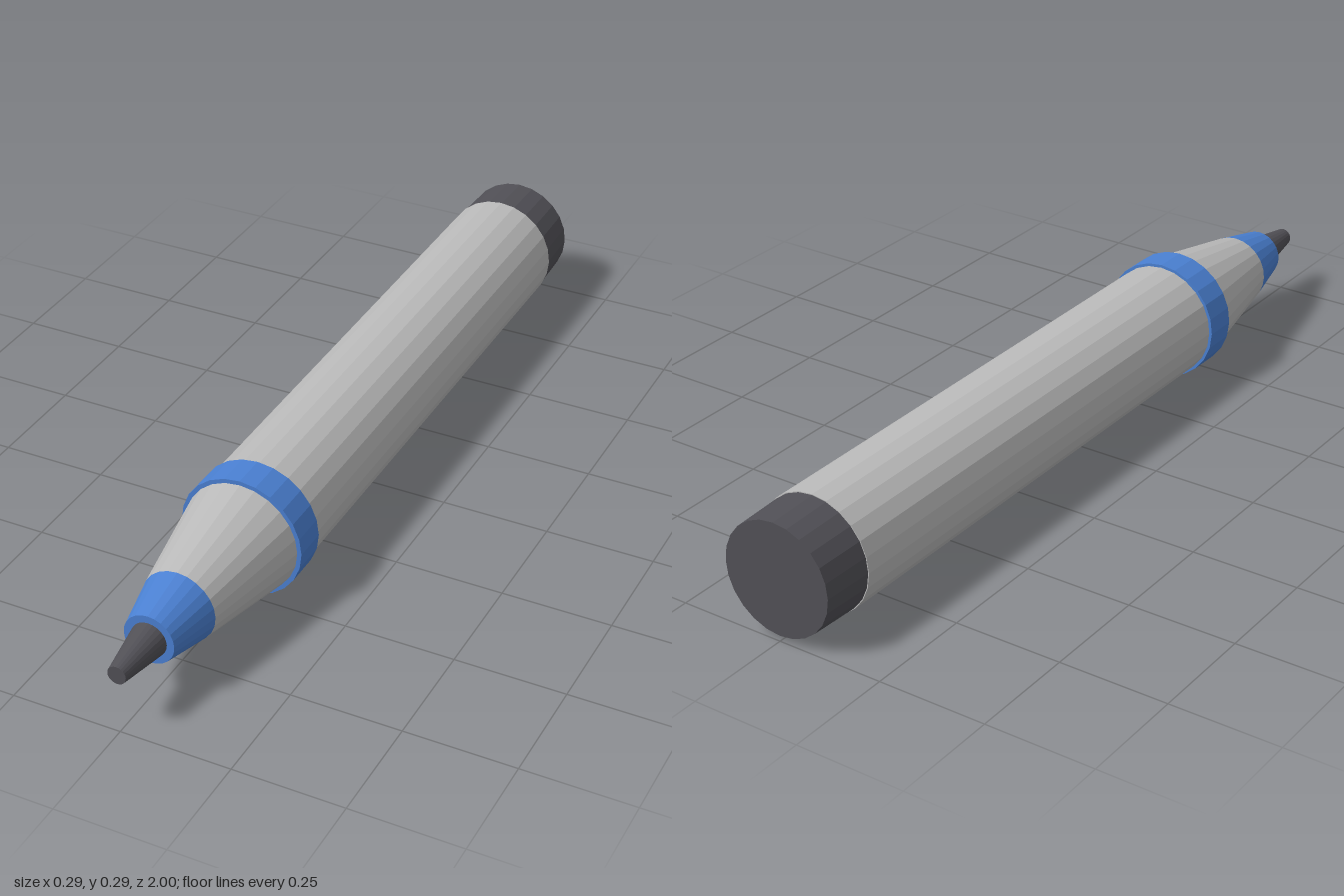
import * as THREE from 'three';

const SIDES = 24;
const AXIS_Y = 0.143; // height of the pen's axis above the ground

export function createModel() {
  const pen = new THREE.Group();
  pen.name = 'pen';

  const material = (name, color) => {
    const m = new THREE.MeshStandardMaterial({ color, flatShading: true });
    m.name = name;
    return m;
  };
  const grey = material('light grey', 0xbababa);
  const blue = material('blue', 0x4a80d2);
  const dark = material('dark grey', 0x515056);

  // A tapered section along z, from the back radius to the front radius
  const section = (name, mat, zBack, zFront, rBack, rFront) => {
    const geometry = new THREE.CylinderGeometry(rFront, rBack, zFront - zBack, SIDES);
    geometry.rotateX(Math.PI / 2);
    const mesh = new THREE.Mesh(geometry, mat);
    mesh.name = name;
    mesh.position.set(0, AXIS_Y, (zBack + zFront) / 2);
    pen.add(mesh);
  };

  // Back to front
  section('endCap', dark, -1, -0.88, 0.13, 0.134);
  section('barrel', grey, -0.88, 0.41, 0.136, 0.136);
  section('collar', blue, 0.41, 0.49, 0.143, 0.143);
  section('cone', grey, 0.49, 0.755, 0.133, 0.085);
  section('gripTip', blue, 0.755, 0.875, 0.085, 0.058);
  section('nib', dark, 0.875, 1, 0.041, 0.021);

  return pen;
}
